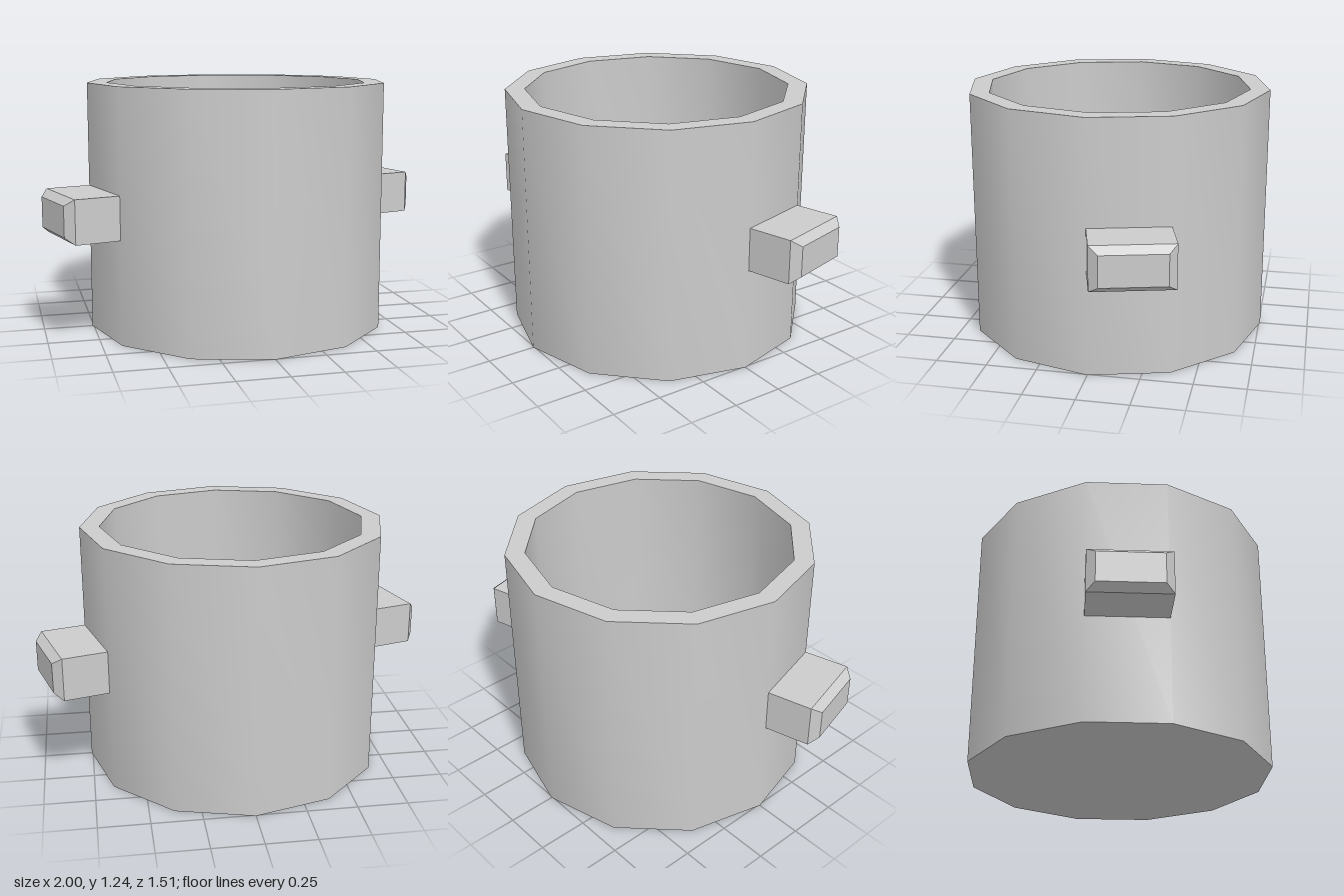
import * as THREE from 'three';
import { toCreasedNormals } from 'three/addons/utils/BufferGeometryUtils.js';

const SIDES = 12, OUTER = 0.757, INNER = 0.66, HEIGHT = 1.24, FLOOR = 0.1;

// Block running along +z from start to tip, with a chamfered outer end
function handleGeometry() {
  const start = 0.70, shoulder = 0.954, tip = 0.994;
  const geometry = new THREE.BoxGeometry(0.392, 0.215, 2, 1, 1, 2);
  const p = geometry.attributes.position;
  for (let i = 0; i < p.count; i++) {
    const z = Math.round(p.getZ(i));
    if (z === 1) p.setXY(i, Math.sign(p.getX(i)) * 0.155, Math.sign(p.getY(i)) * 0.075);
    p.setZ(i, [start, shoulder, tip][z + 1]);
  }
  geometry.computeVertexNormals();
  return geometry;
}

export function createModel() {
  const model = new THREE.Group();
  model.name = 'pot';

  // Hollow twelve-sided body: smooth walls, sharp rims
  const profile = [
    [0, 0], [OUTER, 0], [OUTER, HEIGHT], [INNER, HEIGHT], [INNER, FLOOR], [0, FLOOR],
  ].map(([r, y]) => new THREE.Vector2(r, y));
  const body = new THREE.Mesh(
    toCreasedNormals(new THREE.LatheGeometry(profile, SIDES), THREE.MathUtils.degToRad(40)),
    new THREE.MeshStandardMaterial({ color: 0xcccccc }),
  );
  body.name = 'body';
  model.add(body);

  // Two opposite handles, each filling the width of one wall facet
  const geometry = handleGeometry();
  const material = new THREE.MeshStandardMaterial({ color: 0xcccccc, flatShading: true });
  for (const [name, degrees] of [['leftHandle', 105], ['rightHandle', -75]]) {
    const handle = new THREE.Mesh(geometry, material);
    handle.name = name;
    handle.position.y = 0.622;
    handle.rotation.y = THREE.MathUtils.degToRad(degrees);
    model.add(handle);
  }
  return model;
}
